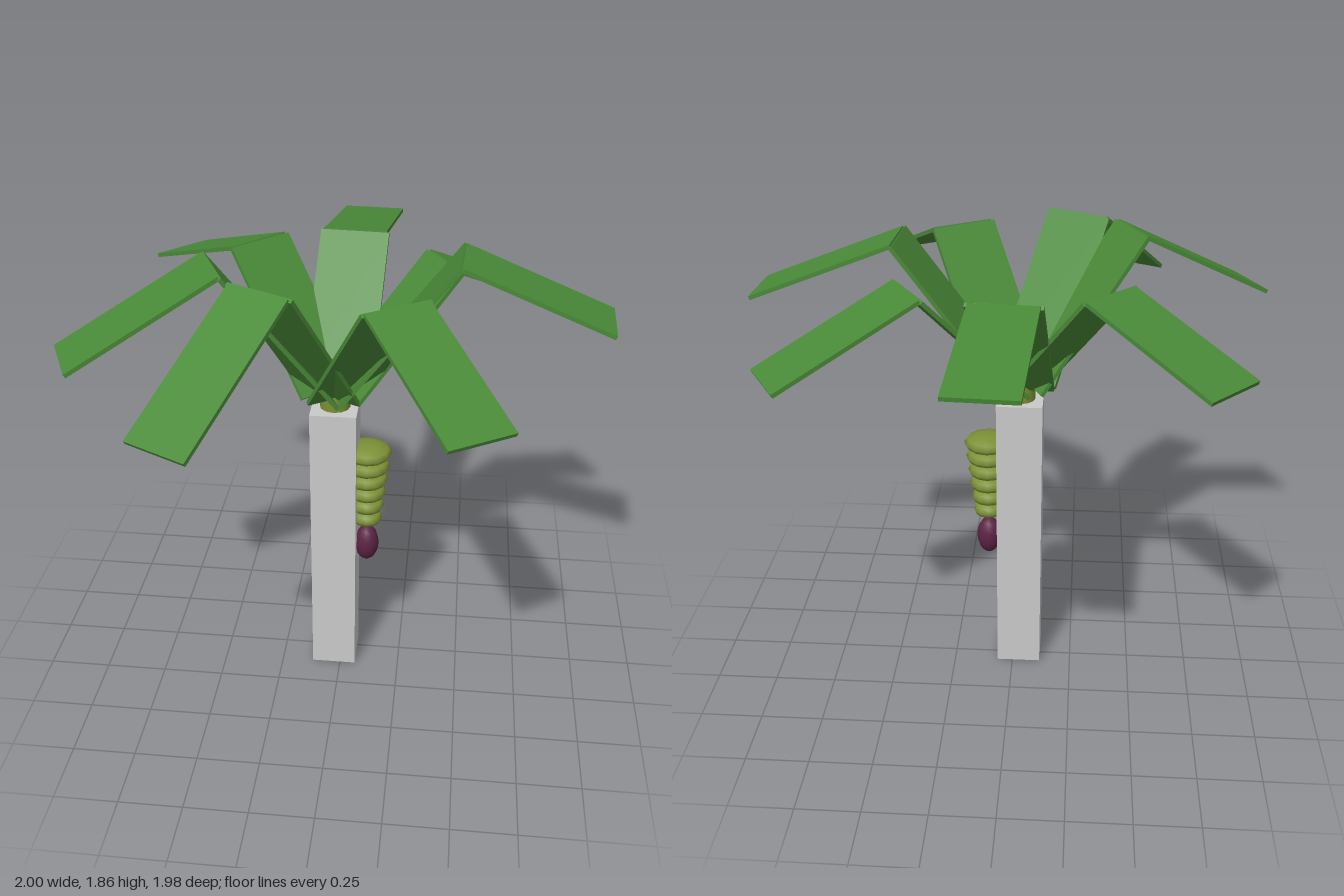
import * as THREE from 'three';

const mat = (name, color, flatShading = false) => {
  const m = new THREE.MeshStandardMaterial({ color, flatShading });
  m.name = name;
  return m;
};

export function createModel() {
  const leafGreen = mat('leaf green', 0x4a8a38, true);
  const trunkGrey = mat('trunk grey', 0xcacaca, true);
  const fruitOlive = mat('fruit olive', 0x7c9036);
  const budPurple = mat('bud purple', 0x5c2344);

  const root = new THREE.Group();
  root.name = 'bananaPalm';
  const cx = -0.027, cz = 0.03;

  const add = (parent, name, geometry, material, x, y, z) => {
    const mesh = new THREE.Mesh(geometry, material);
    mesh.name = name;
    mesh.position.set(x, y, z);
    parent.add(mesh);
    return mesh;
  };

  // Square trunk with a round core showing above it
  add(root, 'trunk', new THREE.BoxGeometry(0.182, 1.22, 0.182), trunkGrey, cx, 0.61, cz);
  add(root, 'stemCore', new THREE.CylinderGeometry(0.06, 0.06, 0.27, 12), fruitOlive, cx, 1.155, cz);

  // A flat plank running from a to b
  const plank = (parent, name, a, b, width) => {
    const mid = a.clone().lerp(b, 0.5);
    const geometry = new THREE.BoxGeometry(width, 0.016, a.distanceTo(b));
    add(parent, name, geometry, leafGreen, mid.x, mid.y, mid.z).lookAt(b);
  };

  // Leaves: bend point x, y, z, then tip point x, y, z
  const leaves = [
    [0.005, 1.765, -0.425, 0.038, 1.672, -0.988],
    [0.37, 1.735, -0.21, 0.848, 1.488, -0.493],
    [0.437, 1.855, 0.052, 0.99, 1.637, 0.08],
    [0.225, 1.802, 0.41, 0.523, 1.573, 0.88],
    [-0.237, 1.848, 0.432, -0.498, 1.5, 0.925],
    [-0.443, 1.852, 0.222, -0.945, 1.571, 0.456],
    [-0.357, 1.762, -0.288, -0.764, 1.575, -0.668],
  ];
  leaves.forEach(([bx, by, bz, tx, ty, tz], i) => {
    const leaf = new THREE.Group();
    leaf.name = `leaf${i + 1}`;
    const angle = Math.atan2(bz - cz, bx - cx);
    const base = new THREE.Vector3(cx + 0.034 * Math.cos(angle), 1.278, cz + 0.034 * Math.sin(angle));
    const bend = new THREE.Vector3(bx, by, bz);
    plank(leaf, 'leafStalkHalf', base, bend, 0.274);
    plank(leaf, 'leafTipHalf', bend, new THREE.Vector3(tx, ty, tz), 0.252);
    root.add(leaf);
  });

  // Hanging fruit bunch of shrinking tiers, with the bud below
  const bunch = new THREE.Group();
  bunch.name = 'fruitBunch';
  bunch.position.set(0.103, 0, cz);
  root.add(bunch);
  const tier = new THREE.SphereGeometry(1, 12, 6);
  for (let i = 0; i < 6; i++) {
    const r = 0.097 - i * 0.007;
    add(bunch, `fruitTier${i + 1}`, tier, fruitOlive, 0, 1.021 - i * 0.0615, 0).scale.set(r, 0.037, r);
  }
  add(bunch, 'flowerBud', new THREE.SphereGeometry(1, 12, 10), budPurple, 0, 0.586, 0).scale.set(0.05, 0.081, 0.05);

  return root;
}
